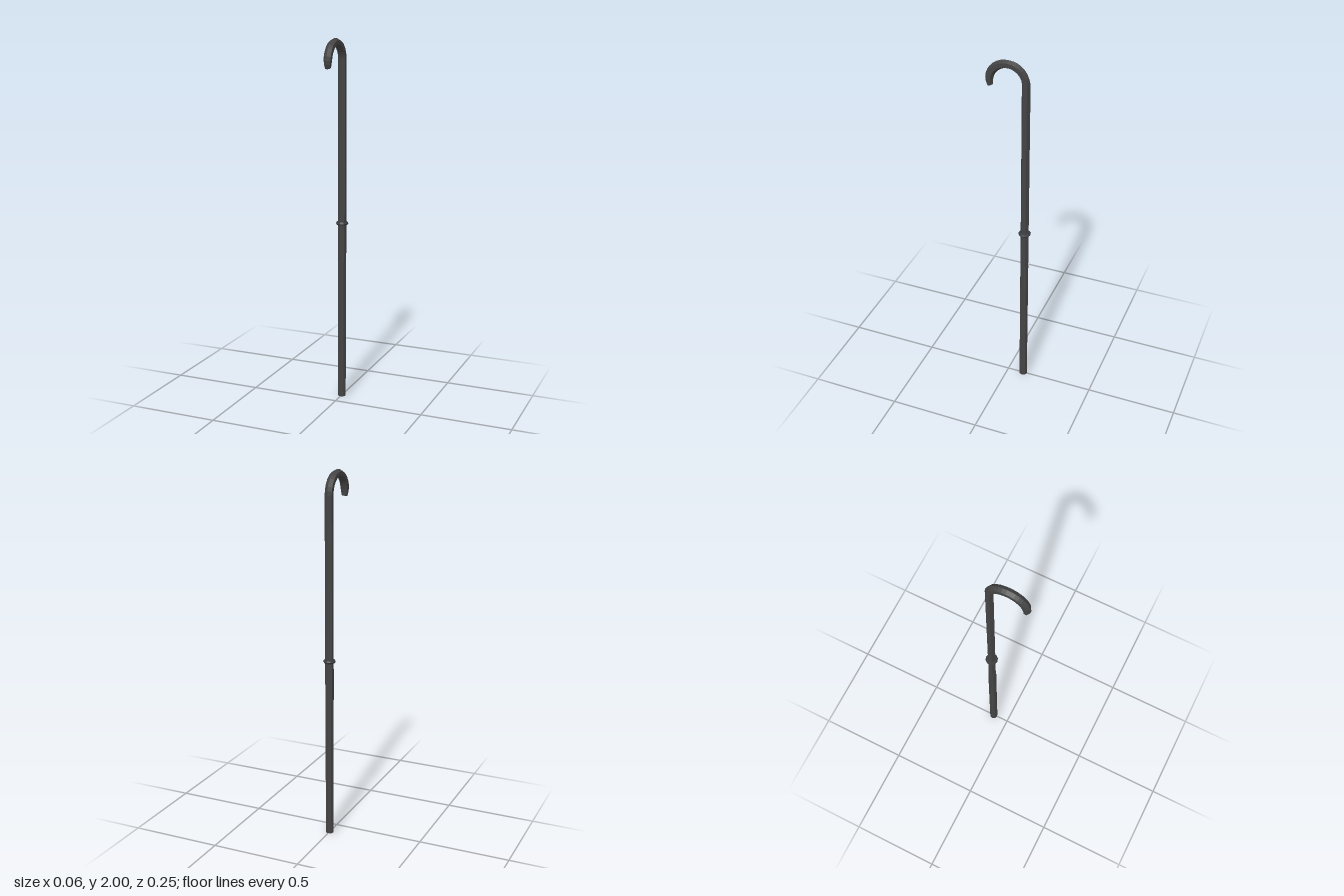
import * as THREE from 'three';

const SHAFT_Z = -0.093;

// Hooked grip: hexagonal sections swept round an arc, narrowing at the tip
function hookGeometry() {
  const steps = 18, sides = 6, arcRadius = 0.0975, end = Math.PI * 1.095;
  const points = [], index = [];
  for (let i = 0; i <= steps; i++) {
    const a = (i / steps) * end;
    const taper = Math.max(0, (i / steps - 0.82) / 0.18);
    const r = 0.0225 - 0.007 * taper * taper;
    for (let j = 0; j < sides; j++) {
      const b = (j / sides) * Math.PI * 2;
      const d = arcRadius + r * Math.cos(b);
      points.push(r * Math.sin(b), d * Math.sin(a), -d * Math.cos(a));
    }
  }
  for (let i = 0; i < steps; i++) {
    for (let j = 0; j < sides; j++) {
      const p = i * sides + j, q = i * sides + (j + 1) % sides;
      index.push(p, p + sides, q, q, p + sides, q + sides);
    }
  }
  // Closed ends
  const last = steps * sides;
  for (let j = 1; j < sides - 1; j++) {
    index.push(0, j, j + 1, last, last + j + 1, last + j);
  }
  const g = new THREE.BufferGeometry();
  g.setAttribute('position', new THREE.Float32BufferAttribute(points, 3));
  g.setIndex(index);
  const flat = g.toNonIndexed();
  flat.computeVertexNormals();
  return flat;
}

export function createModel() {
  const model = new THREE.Group();
  model.name = 'walkingCane';
  const charcoal = new THREE.MeshStandardMaterial({ color: 0x444444, flatShading: true, side: THREE.DoubleSide });
  charcoal.name = 'charcoal';
  const darkGrey = new THREE.MeshStandardMaterial({ color: 0x3c3d40, flatShading: true });
  darkGrey.name = 'dark grey';

  const add = (name, geometry, material, y, z) => {
    const mesh = new THREE.Mesh(geometry, material);
    mesh.name = name;
    mesh.position.set(0, y, z);
    model.add(mesh);
    return mesh;
  };
  const rod = (name, radius, sides, y0, y1) =>
    add(name, new THREE.CylinderGeometry(radius, radius, y1 - y0, sides), charcoal, (y0 + y1) / 2, SHAFT_Z);

  // Shaft: slim upper section sliding into a fuller lower section
  rod('lowerShaft', 0.0232, 8, 0, 0.79);
  rod('upperShaft', 0.0228, 6, 0.78, 1.88);

  // Collar halfway up
  const collar = new THREE.TorusGeometry(0.0245, 0.0095, 6, 10);
  collar.rotateZ(Math.PI / 2).rotateX(Math.PI / 2);
  add('collar', collar, darkGrey, 1, SHAFT_Z);

  add('hookHandle', hookGeometry(), charcoal, 1.88, SHAFT_Z + 0.0975);
  return model;
}
